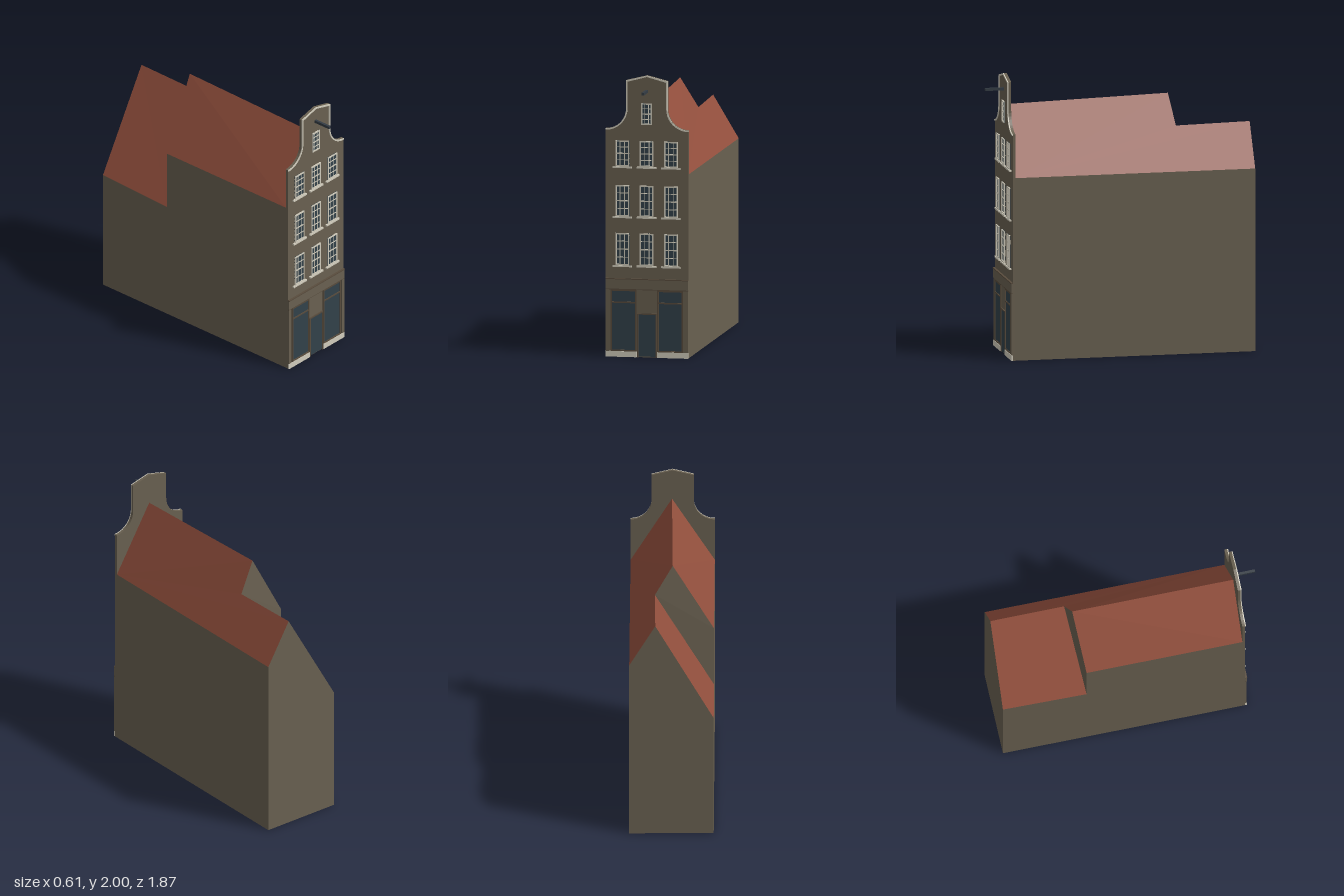
import * as THREE from 'three';

const mat = (name, color) => {
  const m = new THREE.MeshStandardMaterial({ color });
  m.name = name;
  return m;
};

export function createModel() {
  const wall = mat('brown brick', 0x6a6151);
  const roof = mat('red roof tile', 0x924f3d);
  const trim = mat('pale trim', 0xd2cdbd);
  const glass = mat('dark glass', 0x32414a);
  const frame = mat('shop frame brown', 0x594c3d);
  const iron = mat('dark beam', 0x343c44);

  const house = new THREE.Group();
  house.name = 'canalHouse';

  // Flat-faced mesh from outward polygons, each fanned from its first corner
  const polyMesh = (name, material, polys) => {
    const pos = [];
    for (const p of polys)
      for (let i = 1; i < p.length - 1; i++) pos.push(...p[0], ...p[i], ...p[i + 1]);
    const g = new THREE.BufferGeometry();
    g.setAttribute('position', new THREE.Float32BufferAttribute(pos, 3));
    g.computeVertexNormals();
    const m = new THREE.Mesh(g, material);
    m.name = name;
    house.add(m);
  };

  // Box given by its x, y and z ranges
  const box = (name, material, x0, x1, y0, y1, z0, z1, parent = house) => {
    const m = new THREE.Mesh(new THREE.BoxGeometry(x1 - x0, y1 - y0, z1 - z0), material);
    m.position.set((x0 + x1) / 2, (y0 + y1) / 2, (z0 + z1) / 2);
    m.name = name;
    parent.add(m);
  };

  // Corners of the body: front, step between the roofs, back
  const zF = 0.782, zB = -0.935;
  const FL = [-0.305, 0, zF], FR = [0.286, 0, zF];
  const FLe = [-0.305, 1.305, zF], FRe = [0.286, 1.305, zF], FA = [-0.005, 1.78, zF];
  const BL = [-0.29, 0, zB], BR = [0.303, 0, zB];
  const BLe = [-0.29, 0.895, zB], BRe = [0.303, 1.305, zB], BA = [0.12, 1.61, zB];
  const SLe = [-0.295, 1.305, -0.335], SLl = [-0.295, 0.87, -0.335];
  const SA = [-0.005, 1.812, -0.375], SB = [0.12, 1.6, -0.405];

  polyMesh('bodyWalls', wall, [
    [FL, FLe, SLe, SLl, BLe, BL],
    [FR, BR, BRe, FRe],
    [BR, BL, BLe, BA, BRe],
    [FL, FR, FRe, FA, FLe],
    [FL, BL, BR, FR],
    [SB, SLl, SLe, SA],
  ]);
  polyMesh('roof', roof, [
    [FLe, FA, SA, SLe],
    [FRe, BRe, BA, SB, SA, FA],
    [SLl, SB, BA, BLe],
  ]);

  // Neck gable outline, from right ear over the peak to left ear, drawn inward by t
  const cx = -0.0095, W = 0.2955, neck = 0.1485, r = 0.147;
  const gable = (t) => {
    const right = [];
    for (let i = 0; i <= 10; i++) {
      const a = -Math.PI / 2 - (i / 10) * (Math.PI / 2);
      right.push([W + (r + t) * Math.cos(a), 1.765 + (r + t) * Math.sin(a)]);
    }
    right.push([neck - t, 1.963 - t]);
    const left = right.map(([x, y]) => [-x, y]).reverse();
    return [...right, [0, 2 - t], ...left].map(([x, y]) => new THREE.Vector2(cx + x, y));
  };
  const extrude = (name, material, pts, z0, depth) => {
    const g = new THREE.ExtrudeGeometry(new THREE.Shape(pts), { depth, bevelEnabled: false });
    const m = new THREE.Mesh(g, material);
    m.position.z = z0;
    m.name = name;
    house.add(m);
  };
  const zW = 0.802; // face of the facade
  extrude('facade', wall,
    [new THREE.Vector2(cx - W, 0), new THREE.Vector2(cx + W, 0), ...gable(0)], zF, zW - zF);
  extrude('gableTrim', trim, [...gable(0), ...gable(0.01).reverse()], zW, 0.007);

  // Sash window with a 3 by 4 grid of panes
  const sash = (x, y0, y1, w, sill) => {
    const g = new THREE.Group();
    g.name = 'sashWindow';
    house.add(g);
    const a = x - w / 2, b = x + w / 2, f = 0.009;
    box('pane', glass, a, b, y0, y1, zW, zW + 0.003, g);
    for (const s of [a, b - f]) box('frameSide', trim, s, s + f, y0, y1, zW, zW + 0.009, g);
    for (const s of [y0, y1 - f]) box('frameRail', trim, a + f, b - f, s, s + f, zW, zW + 0.009, g);
    for (let i = 1; i < 3; i++) {
      const c = a + (w * i) / 3;
      box('glazingBar', trim, c - 0.0025, c + 0.0025, y0 + f, y1 - f, zW, zW + 0.006, g);
    }
    for (let i = 1; i < 4; i++) {
      const c = y0 + ((y1 - y0) * i) / 4, h = i === 2 ? 0.004 : 0.0025;
      box('glazingBar', trim, a + f, b - f, c - h, c + h, zW, zW + 0.007, g);
    }
    if (sill) box('sill', trim, x - 0.069, x + 0.069, y0 - 0.012, y0, zW, zW + 0.014, g);
  };
  for (const [y0, y1] of [[0.65, 0.878], [0.997, 1.218], [1.352, 1.535]])
    for (const x of [-0.185, -0.0115, 0.162]) sash(x, y0, y1, 0.098, true);
  sash(-0.0115, 1.65, 1.803, 0.076, false);

  // Shop front: cornice, pilasters, plinths, display windows and door
  box('shopCornice', wall, -0.305, 0.286, 0.483, 0.55, zW, 0.814);
  box('corniceCap', frame, -0.305, 0.286, 0.55, 0.557, zW, 0.817);
  box('corniceFoot', frame, -0.305, 0.286, 0.477, 0.483, zW, 0.812);
  for (const s of [-1, 1]) {
    const at = (name, m, u0, u1, y0, y1, z1) => {
      const p = cx + s * u0, q = cx + s * u1;
      box(name, m, Math.min(p, q), Math.max(p, q), y0, y1, zW, z1);
    };
    at('plinth', trim, 0.073, W, 0, 0.04, 0.814);
    at('pilaster', wall, 0.268, W, 0.04, 0.477, 0.812);
    at('shopGlass', glass, 0.085, 0.248, 0.05, 0.467, 0.806);
    at('shopFrameSide', frame, 0.248, 0.258, 0.04, 0.477, 0.811);
    at('shopFrameSide', frame, 0.075, 0.085, 0.04, 0.477, 0.811);
    at('shopFrameRail', frame, 0.085, 0.248, 0.467, 0.477, 0.811);
    at('shopFrameRail', frame, 0.085, 0.248, 0.04, 0.05, 0.811);
    at('shopTransom', frame, 0.085, 0.248, 0.382, 0.392, 0.811);
    at('doorPost', frame, 0.061, 0.07, 0, 0.312, 0.811);
  }
  box('doorHead', frame, cx - 0.061, cx + 0.061, 0.303, 0.312, zW, 0.811);
  box('door', glass, cx - 0.061, cx + 0.061, 0.006, 0.303, zW, 0.807);

  // Hoisting beam
  box('hoistBeam', iron, -0.021, -0.003, 1.879, 1.898, 0.79, 0.937);

  return house;
}
